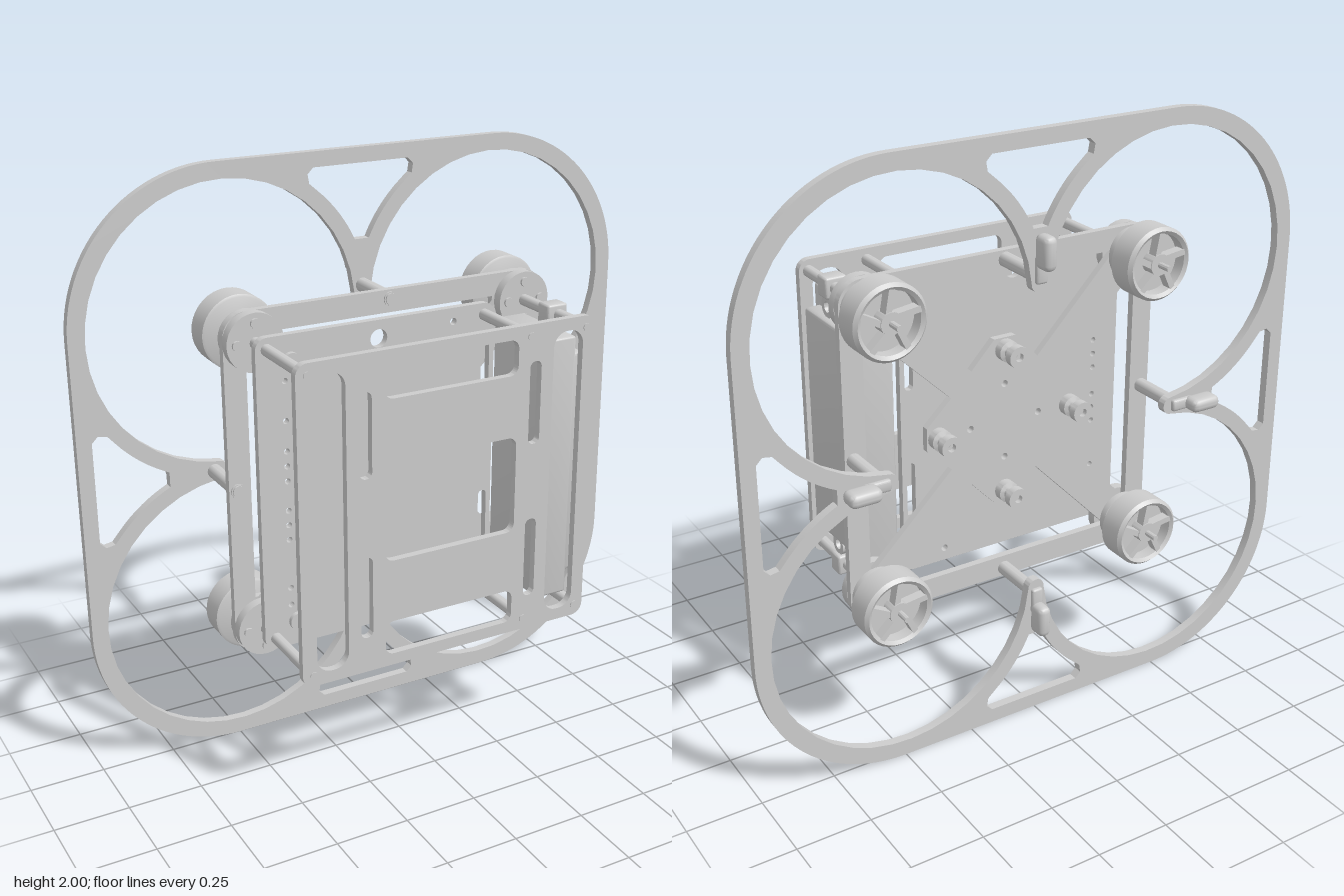
import * as THREE from 'three';
import { toCreasedNormals } from 'three/addons/utils/BufferGeometryUtils.js';
import { RoundedBoxGeometry } from 'three/addons/geometries/RoundedBoxGeometry.js';

const material = new THREE.MeshStandardMaterial({ color: 0xcccccc });
const M = 0.487; // motor and corner post offset
const QUARTERS = [0, 1, 2, 3].map((k) => k * Math.PI / 2);
const CORNERS = [[1, 1], [-1, 1], [-1, -1], [1, -1]];

function add(parent, name, geometry, x = 0, y = 0, z = 0) {
  const mesh = new THREE.Mesh(toCreasedNormals(geometry, 0.6), material);
  mesh.name = name;
  mesh.position.set(x, y, z);
  parent.add(mesh);
  return mesh;
}

// Cylinder along z between two depths
function rod(parent, name, r, x, y, z0, z1, sides = 20) {
  const g = new THREE.CylinderGeometry(r, r, z1 - z0, sides).rotateX(Math.PI / 2);
  return add(parent, name, g, x, y, (z0 + z1) / 2);
}

// Solid turned about z from [radius, z] points
function turned(parent, name, points, x, y, sides = 32) {
  const g = new THREE.LatheGeometry(points.map((p) => new THREE.Vector2(...p)), sides);
  return add(parent, name, g.rotateX(Math.PI / 2), x, y, 0);
}

function box(parent, name, x0, x1, y0, y1, z0, z1, r = 0.01) {
  const g = new RoundedBoxGeometry(x1 - x0, y1 - y0, z1 - z0, 2, r);
  return add(parent, name, g, (x0 + x1) / 2, (y0 + y1) / 2, (z0 + z1) / 2);
}

function roundRect(x0, x1, y0, y1, r) {
  const s = new THREE.Shape(), H = Math.PI / 2;
  s.absarc(x1 - r, y1 - r, r, 0, H);
  s.absarc(x0 + r, y1 - r, r, H, 2 * H);
  s.absarc(x0 + r, y0 + r, r, 2 * H, 3 * H);
  s.absarc(x1 - r, y0 + r, r, 3 * H, 4 * H);
  s.closePath();
  return s;
}

const circle = (x, y, r) => new THREE.Path().absarc(x, y, r, 0, Math.PI * 2);

function plate(parent, name, shape, z0, z1, curveSegments = 8) {
  const g = new THREE.ExtrudeGeometry(shape, { depth: z1 - z0, bevelEnabled: false, curveSegments });
  return add(parent, name, g, 0, 0, z0);
}

// Propeller guard: four ring openings joined in the middle, with a window in each neck
function guardShape() {
  const s = roundRect(-1, 1, -1, 1, 0.5);
  const opening = new THREE.Path();
  const R = 0.459, a = 0.094;
  for (const q of QUARTERS) {
    const t = -q, c = Math.cos(t), n = Math.sin(t);
    opening.absarc(M * (c - n), M * (n + c), R, t + Math.PI - a, t - Math.PI / 2 + a, true);
    opening.absarc(0.53 * c, 0.53 * n, 0.03, t + Math.PI / 2, t + Math.PI * 1.5, false);
  }
  opening.closePath();
  s.holes.push(opening);
  for (const q of QUARTERS) {
    const pts = [[0.17, 0.95], [-0.17, 0.95], [-0.19, 0.93], [-0.185, 0.9]];
    for (let i = 0; i <= 8; i++) {
      const y = 0.88 - i * 0.022;
      pts.push([-(M - Math.sqrt(0.51 ** 2 - (y - M) ** 2)), y]);
    }
    for (let i = 12; i >= 3; i--) pts.push([-pts[i][0], pts[i][1]]);
    pts.push([0.19, 0.93]);
    const o = new THREE.Vector2();
    s.holes.push(new THREE.Path(pts.map((p) => new THREE.Vector2(...p).rotateAround(o, q))));
  }
  return s;
}

// Square frame with diagonal arms meeting in a diamond
function frameShape() {
  const s = roundRect(-0.58, 0.58, -0.58, 0.58, 0.08);
  const o = new THREE.Vector2();
  const gap = [[-0.42, 0.505], [0.42, 0.505], [0.125, 0.2], [0.04, 0.29], [-0.04, 0.29], [-0.125, 0.2]];
  for (const q of QUARTERS) {
    s.holes.push(new THREE.Path(gap.map((p) => new THREE.Vector2(...p).rotateAround(o, q))));
    const h = new THREE.Vector2(0, 0.13).rotateAround(o, q);
    s.holes.push(circle(h.x, h.y, 0.012));
  }
  return s;
}

function addMotor(parent, x, y) {
  const motor = new THREE.Group();
  motor.name = 'motor';
  motor.position.set(x, y, 0);
  parent.add(motor);
  rod(motor, 'motorMount', 0.095, 0, 0, -0.055, -0.02, 28);
  rod(motor, 'motorBase', 0.088, 0, 0, -0.105, -0.08, 28);
  rod(motor, 'motorNeck', 0.06, 0, 0, -0.145, -0.1);
  turned(motor, 'motorBell', [[0, -0.19], [0.1, -0.19], [0.1, -0.232], [0.112, -0.24],
    [0.123, -0.228], [0.123, -0.142], [0.115, -0.138], [0, -0.138]], 0, 0, 36);
  rod(motor, 'motorHub', 0.036, 0, 0, -0.238, -0.185);
  rod(motor, 'motorShaft', 0.01, 0, 0, -0.285, -0.23, 10);
  for (let i = 0; i < 5; i++) {
    const a = i * Math.PI * 0.4 + 0.3;
    const spoke = add(motor, 'spoke', new THREE.BoxGeometry(0.08, 0.02, 0.035),
      0.067 * Math.cos(a), 0.067 * Math.sin(a), -0.217);
    spoke.rotation.z = a + 0.2;
  }
  for (const q of QUARTERS) {
    rod(motor, 'mountScrew', 0.016, 0.062 * Math.cos(q), 0.062 * Math.sin(q), -0.03, -0.012, 12);
  }
}

export function createModel() {
  const root = new THREE.Group();
  root.name = 'quadcopter';
  const body = new THREE.Group();
  body.name = 'body';
  body.position.y = 1;
  root.add(body);

  plate(body, 'propellerGuard', guardShape(), -0.275, -0.245, 14);
  plate(body, 'motorFrame', frameShape(), -0.08, -0.055);
  for (const [sx, sy] of CORNERS) addMotor(body, sx * M, sy * M);

  // Guard posts, landing feet and rear standoffs, one set per side
  for (const q of QUARTERS) {
    const side = new THREE.Group();
    side.name = 'guardSupport';
    side.rotation.z = q;
    body.add(side);
    rod(side, 'guardPost', 0.024, 0.55, 0, -0.25, -0.05, 16);
    rod(side, 'postScrew', 0.02, 0.55, 0, -0.055, -0.045, 12);
    box(side, 'landingFoot', 0.58, 0.69, -0.023, 0.023, -0.34, -0.27, 0.02);
    box(side, 'footTab', 0.53, 0.62, -0.02, 0.02, -0.29, -0.27, 0.008);
    turned(side, 'standoff', [[0.014, -0.15], [0.014, -0.168], [0.036, -0.168], [0.036, -0.14],
      [0.022, -0.135], [0.022, -0.115], [0.036, -0.11], [0.036, -0.078], [0, -0.078]], 0.25, 0, 20);
  }

  // Middle plate
  const mid = roundRect(-0.525, 0.32, -0.525, 0.525, 0.04);
  mid.holes.push(circle(-0.105, 0.465, 0.03), circle(0.035, 0.075, 0.01));
  for (const s of [-1, 1]) {
    mid.holes.push(circle(0.165, s * 0.48, 0.012));
    mid.holes.push(roundRect(0.272, 0.303, Math.min(s * 0.13, s * 0.4), Math.max(s * 0.13, s * 0.4), 0.014));
  }
  for (const y of [0.38, 0.25, 0.15, 0.1, 0.05, -0.05, -0.1, -0.15, -0.32, -0.38]) {
    mid.holes.push(circle(-0.43, y, 0.01));
  }
  plate(body, 'middlePlate', mid, 0.035, 0.06);
  for (const s of [-1, 1]) rod(body, 'plateScrew', 0.03, -0.41, s * 0.44, 0.06, 0.075);

  // Front plate with its cut-outs
  const front = roundRect(-0.525, 0.52, -0.525, 0.525, 0.04);
  front.holes.push(roundRect(-0.235, 0.235, -0.16, 0.165, 0.03));
  for (const s of [-1, 1]) {
    const span = (a, b) => (s > 0 ? [a, b] : [-b, -a]);
    front.holes.push(roundRect(-0.235, 0.235, ...span(0.37, 0.485), 0.03));
    front.holes.push(roundRect(...span(0.365, 0.475), -0.485, 0.485, 0.05));
    for (const x of [-0.3, 0.3]) {
      front.holes.push(roundRect(x - 0.021, x + 0.021, ...span(0.13, 0.405), 0.02));
    }
  }
  plate(body, 'frontPlate', front, 0.31, 0.335);

  // Posts between the plates
  for (const s of [-1, 1]) {
    for (const x of [-M, M]) {
      rod(body, 'cornerPost', 0.019, x, s * M, -0.03, 0.312, 16);
      rod(body, 'cornerScrew', 0.013, x, s * M, 0.33, 0.338, 12);
    }
    rod(body, 'innerPost', 0.019, 0.28, s * M, 0.05, 0.312, 16);
    rod(body, 'innerScrew', 0.013, 0.28, s * M, 0.33, 0.338, 12);
  }

  // Side battery with raised panel and clamp brackets
  box(body, 'batteryCase', 0.36, 0.475, -0.45, 0.45, 0, 0.3, 0.008);
  box(body, 'batteryPanel', 0.46, 0.525, -0.385, 0.385, 0.03, 0.275, 0.012);
  for (const s of [-1, 1]) {
    const bracket = new THREE.Group();
    bracket.name = 'batteryBracket';
    bracket.position.set(0, s * M, 0.152);
    body.add(bracket);
    box(bracket, 'bracketBlock', 0.445, 0.52, -0.035, 0.035, -0.03, 0.03, 0.008);
    const eye = new THREE.Shape().absarc(0, 0, 0.036, 0, Math.PI * 2);
    eye.holes.push(circle(0, 0, 0.018));
    const g = new THREE.ExtrudeGeometry(eye, { depth: 0.03, bevelEnabled: false, curveSegments: 10 });
    add(bracket, 'bracketEye', g.rotateY(Math.PI / 2), 0.475, -s * 0.068, 0);
  }
  return root;
}
